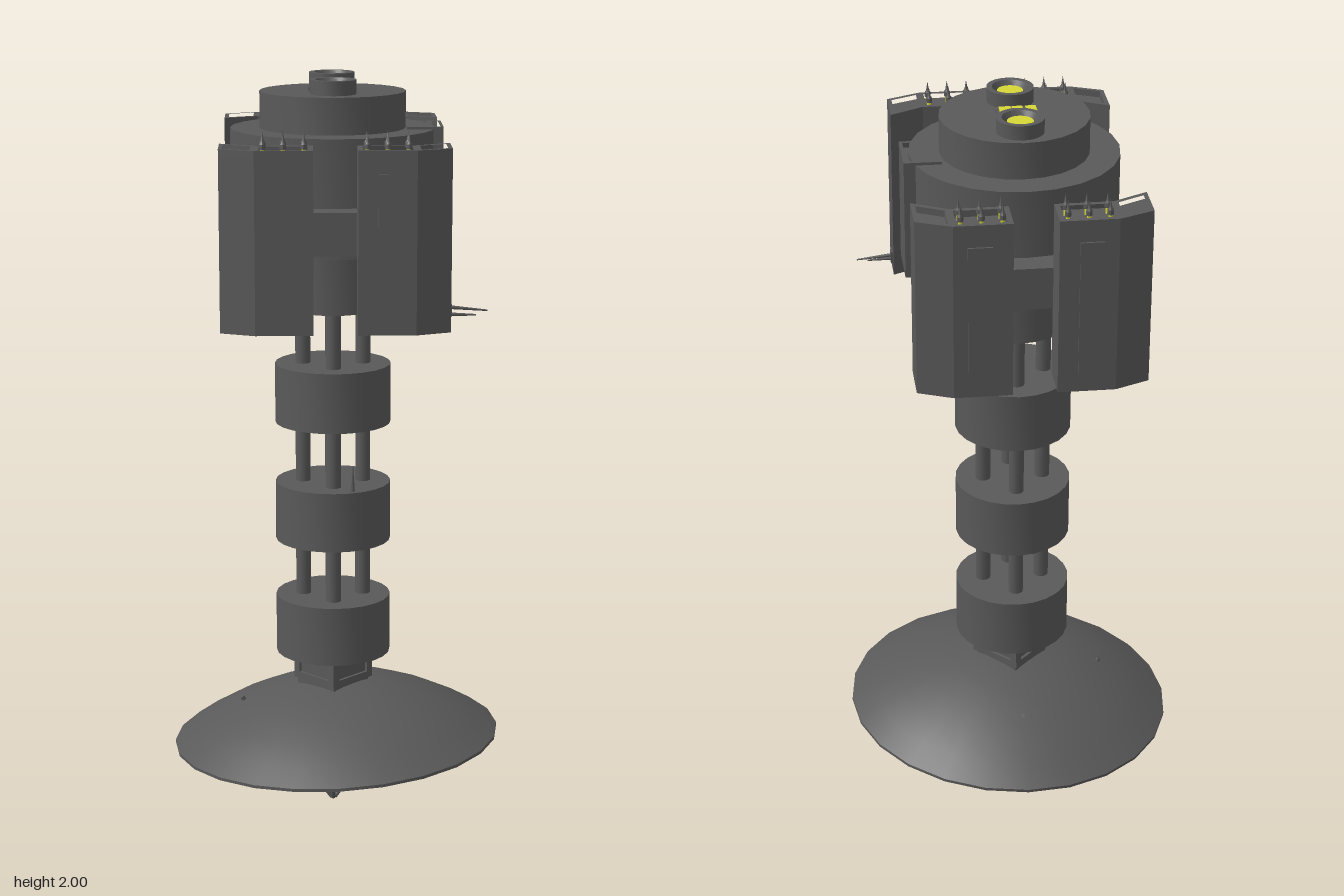
import * as THREE from 'three';
import { toCreasedNormals } from 'three/addons/utils/BufferGeometryUtils.js';

const hull = new THREE.MeshStandardMaterial({ color: 0x595959 });
hull.name = 'hull grey';
const glow = new THREE.MeshStandardMaterial({ color: 0xd6d636 });
glow.name = 'light yellow';

const V2 = (x, y) => new THREE.Vector2(x, y);

function add(parent, name, geo, mat, x = 0, y = 0, z = 0) {
  const m = new THREE.Mesh(geo, mat);
  m.name = name;
  m.position.set(x, y, z);
  parent.add(m);
  return m;
}

// box given by its minimum and maximum corners
function block(parent, name, [x0, y0, z0], [x1, y1, z1], mat = hull) {
  return add(parent, name, new THREE.BoxGeometry(x1 - x0, y1 - y0, z1 - z0), mat,
    (x0 + x1) / 2, (y0 + y1) / 2, (z0 + z1) / 2);
}

function lathe(parent, name, pts, mat = hull, sides = 24) {
  const geo = new THREE.LatheGeometry(pts.map(p => V2(...p)), sides);
  return add(parent, name, toCreasedNormals(geo, 0.5), mat);
}

// round bar between two points
function bar(parent, name, a, b, r0, r1 = r0, sides = 8) {
  const A = new THREE.Vector3(...a), B = new THREE.Vector3(...b);
  const d = B.clone().sub(A);
  const m = add(parent, name, new THREE.CylinderGeometry(r1, r0, d.length(), sides), hull);
  m.position.copy(A).add(B).multiplyScalar(0.5);
  m.quaternion.setFromUnitVectors(new THREE.Vector3(0, 1, 0), d.normalize());
  return m;
}

// plan outline (x, z) extruded upward from y0 to y1, with optional holes
function prism(parent, name, outline, y0, y1, holes = []) {
  const conv = pts => pts.map(([x, z]) => V2(x, -z));
  const shape = new THREE.Shape(conv(outline));
  holes.forEach(h => shape.holes.push(new THREE.Path(conv(h))));
  const geo = new THREE.ExtrudeGeometry(shape, { depth: y1 - y0, bevelEnabled: false });
  geo.rotateX(-Math.PI / 2);
  return add(parent, name, geo, hull, 0, y0, 0);
}

// drum with a lipped, recessed underside
function drum(parent, name, y, h, r) {
  lathe(parent, name, [[0, 0.02], [0.07, 0.02], [0.085, -0.01], [0.105, -0.01],
    [0.105, 0], [r, 0], [r, h], [0, h]]).position.y = y;
}

// one bent equipment pod; sx and sz choose the corner
function pod(parent, sx, sz) {
  const g = new THREE.Group();
  g.name = `${sz > 0 ? 'front' : 'back'}${sx > 0 ? 'Left' : 'Right'}Pod`;
  parent.add(g);
  const place = pts => pts.map(([x, z]) => [sx * x, sz * z]);
  const outline = place([[0.055, 0.325], [0.2, 0.325], [0.288, 0.28],
    [0.288, 0.39], [0.2, 0.427], [0.055, 0.427]]);
  const wells = [
    place([[0.068, 0.338], [0.19, 0.338], [0.19, 0.415], [0.068, 0.415]]),
    place([[0.21, 0.333], [0.277, 0.299], [0.277, 0.382], [0.21, 0.411]]),
  ];
  prism(g, 'podCore', outline, 1.418, 1.84);
  prism(g, 'podTopRim', outline, 1.84, 1.857, wells);
  prism(g, 'podBottomRim', outline, 1.398, 1.418, wells);
  // raised strip on the outer face
  const xs = [sx * 0.105, sx * 0.165].sort((a, b) => a - b);
  const zs = [sz * 0.425, sz * 0.432].sort((a, b) => a - b);
  block(g, 'podStrip', [xs[0], 1.45, zs[0]], [xs[1], 1.8, zs[1]]);
  // spikes on yellow stems
  for (const x of [0.078, 0.129, 0.18]) for (const z of [0.357, 0.398]) {
    add(g, 'spikeStem', new THREE.CylinderGeometry(0.005, 0.005, 0.018, 8), glow, sx * x, 1.849, sz * z);
    const s = lathe(g, 'spike', [[0, 0], [0.008, 0], [0.008, 0.012], [0.004, 0.018], [0, 0.042]], hull, 8);
    s.position.set(sx * x, 1.857, sz * z);
  }
}

// dish, feed mast and struts
function dish(parent) {
  const g = new THREE.Group();
  g.name = 'dishAssembly';
  parent.add(g);
  const steps = [0, 0.08, 0.16, 0.24, 0.32, 0.38, 0.443];
  const curve = (r, d) => [r, 0.352 - d - 0.78 * r * r];
  const bowl = new THREE.Group();
  bowl.name = 'dishTilt';
  bowl.position.y = 0.352;
  bowl.rotation.set(-0.015, 0, 0.05);
  g.add(bowl);
  lathe(bowl, 'dish', [...steps.map(r => curve(r, 0.008)),
    ...steps.slice().reverse().map(r => curve(r, 0))]).position.y = -0.352;
  lathe(g, 'feedMast', [[0, 0], [0.02, 0.11], [0.02, 0.2], [0.012, 0.345], [0, 0.345]], hull, 12);
  lathe(g, 'feedRing', [[0.045, 0.112], [0.08, 0.112], [0.08, 0.135], [0.045, 0.135], [0.045, 0.112]]);
  for (let i = 0; i < 4; i++) {
    const c = Math.cos(i * Math.PI / 2), s = Math.sin(i * Math.PI / 2);
    const at = (r, y) => [r * c, y, r * s];
    bar(g, 'dishStrut', at(0.25, 0.3), at(0.2, 0.215), 0.006);
    bar(g, 'dishStrut', at(0.2, 0.215), at(0.083, 0.115), 0.006);
    bar(g, 'tipStrut', at(0.083, 0.115), at(0.004, 0.004), 0.006);
    bar(g, 'ringSpoke', at(0.015, 0.123), at(0.05, 0.123), 0.007);
  }
}

export function createModel() {
  const root = new THREE.Group();
  root.name = 'relayStation';
  const g = new THREE.Group();
  g.name = 'tiltedBody';
  g.position.z = 0.03;
  g.rotation.x = -0.035;
  root.add(g);

  dish(g);

  // square neck with framed panels, turned a quarter-corner
  const neck = new THREE.Group();
  neck.name = 'neck';
  neck.rotation.y = Math.PI / 4;
  g.add(neck);
  block(neck, 'neckBox', [-0.068, 0.34, -0.068], [0.068, 0.445, 0.068]);
  for (let i = 0; i < 4; i++) {
    const side = new THREE.Group();
    side.name = 'neckPanelFrame';
    side.rotation.y = i * Math.PI / 2;
    neck.add(side);
    for (const y of [0.358, 0.422]) block(side, 'frameBar', [-0.075, y, 0.066], [0.075, y + 0.018, 0.076]);
    for (const x of [-0.075, 0.055]) block(side, 'framePost', [x, 0.358, 0.066], [x + 0.02, 0.44, 0.076]);
  }

  // column of drums joined by four rods
  for (const y of [0.44, 0.757, 1.08]) drum(g, 'columnDrum', y, 0.16, 0.154);
  drum(g, 'collar', 1.395, 0.18, 0.153);
  for (let i = 0; i < 4; i++) {
    const a = i * Math.PI / 2;
    const x = 0.08 * Math.cos(a), z = 0.08 * Math.sin(a);
    bar(g, 'columnRod', [x, 0.55, z], [x, 1.45, z], 0.02, 0.02, 12);
  }
  bar(g, 'drumAerial', [0.05, 0.91, 0.125], [0.05, 0.985, 0.125], 0.006, 0.001);

  // main body, cap and cross arm
  lathe(g, 'mainBody', [[0, 1.56], [0.267, 1.56], [0.267, 1.865], [0, 1.865]]);
  lathe(g, 'topCap', [[0, 1.86], [0.19, 1.86], [0.19, 1.96], [0, 1.96]]);
  block(g, 'crossArm', [-0.14, 1.58, -0.33], [0.14, 1.69, 0.33]);

  // side housing with an open top tray
  block(g, 'sideHousing', [0.19, 1.56, -0.075], [0.285, 1.855, 0.065]);
  prism(g, 'sideHousingRim', [[0.19, -0.075], [0.285, -0.075], [0.285, 0.065], [0.19, 0.065]], 1.855, 1.872,
    [[[0.2, -0.065], [0.247, -0.065], [0.247, 0.055], [0.2, 0.055]],
      [[0.262, -0.065], [0.277, -0.065], [0.277, 0.055], [0.254, 0.055]]]);

  // lamps on the cap
  for (const z of [0.091, -0.113]) {
    lathe(g, 'lampHousing', [[0, 1.955], [0.06, 1.955], [0.06, 1.997], [0.046, 1.997],
      [0.036, 1.98], [0, 1.98]]).position.z = z;
    add(g, 'lamp', new THREE.CylinderGeometry(0.033, 0.033, 0.008, 24), glow, 0, 1.983, z);
  }
  block(g, 'windowBox', [-0.063, 1.955, -0.05], [0.045, 1.97, 0.025]);
  for (const [x0, x1] of [[-0.055, -0.029], [-0.021, 0.006], [0.008, 0.038]]) {
    block(g, 'capWindow', [x0, 1.968, -0.042], [x1, 1.974, 0.017], glow);
  }

  // four pods
  for (const sx of [1, -1]) for (const sz of [1, -1]) pod(g, sx, sz);

  // twin aerial on the front left pod
  block(g, 'aerialMount', [0.28, 1.425, 0.298], [0.294, 1.455, 0.325]);
  bar(g, 'aerial', [0.288, 1.446, 0.305], [0.385, 1.437, 0.303], 0.005, 0.002);
  bar(g, 'aerial', [0.288, 1.43, 0.318], [0.355, 1.428, 0.315], 0.005, 0.002);
  return root;
}
